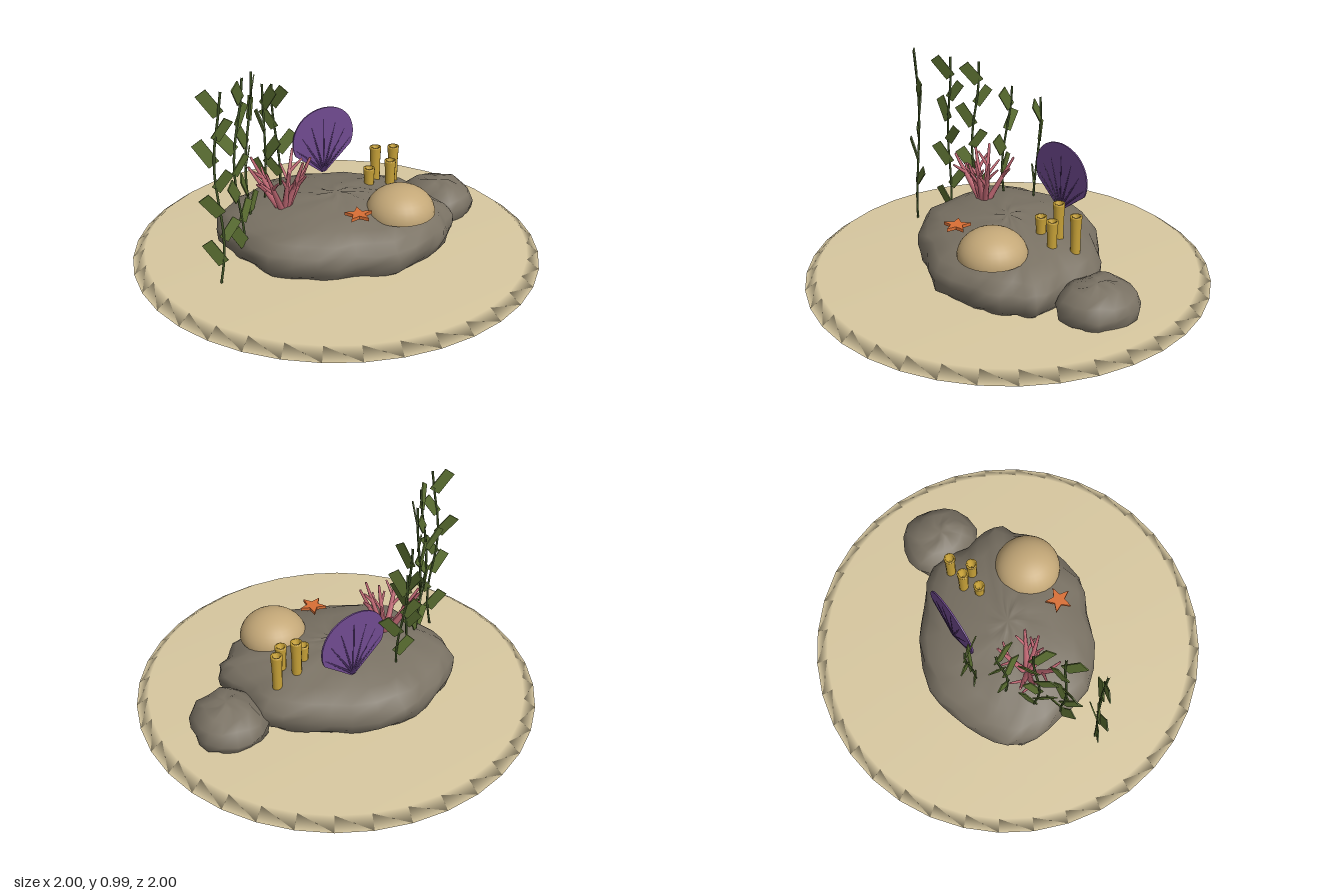
import * as THREE from 'three';

const mat = (name, color, extra = {}) => Object.assign(new THREE.MeshStandardMaterial({ color, ...extra }), { name });
const V = (x, y, z) => new THREE.Vector3(x, y, z);

export function createModel() {
  const M = {
    sand: mat('sand', 0xd8c8a0),
    rock: mat('rock', 0x7a7264),
    leaf: mat('kelp leaf', 0x5c7032),
    stem: mat('kelp stem', 0x3f5226),
    coral: mat('pink coral', 0xc46a76),
    sponge: mat('yellow sponge', 0xc8a238),
    dome: mat('tan coral', 0xc4a878),
    star: mat('orange', 0xd96f35),
    fan: mat('purple', 0x704a90),
    rib: mat('dark purple', 0x432a5c),
  };
  const root = new THREE.Group();
  root.name = 'reef';

  const group = (name, parent = root) => {
    const g = new THREE.Group();
    g.name = name;
    parent.add(g);
    return g;
  };
  const add = (name, geo, material, parent = root, x = 0, y = 0, z = 0) => {
    const m = new THREE.Mesh(geo, material);
    m.name = name;
    m.position.set(x, y, z);
    parent.add(m);
    return m;
  };
  const lathe = (pts, segs) => new THREE.LatheGeometry(pts.map(p => new THREE.Vector2(...p)), segs);
  // tapered rod between two points
  const rod = (name, a, b, r0, r1, material, parent) => {
    const d = b.clone().sub(a);
    const m = add(name, new THREE.CylinderGeometry(r1, r0, d.length(), 6), material, parent);
    m.position.copy(a).add(b).multiplyScalar(0.5);
    m.quaternion.setFromUnitVectors(V(0, 1, 0), d.normalize());
  };

  // Sand disc
  add('sandBase', lathe([[0, 0], [1, 0], [0.94, 0.045], [0, 0.045]], 36), M.sand);

  // Rocks: a plan outline scaled ring by ring, with a little unevenness
  const boulder = (outline, cx, cz, rings, n, rough) => {
    const curve = new THREE.CatmullRomCurve3(outline.map(([x, z]) => V(x, 0, z)), true);
    const pos = [], idx = [];
    rings.forEach(([y, s], k) => {
      for (let i = 0; i < n; i++) {
        const p = curve.getPoint(i / n);
        const w = 1 + rough * Math.sin(i * 2.3 + k * 1.9) * (s < 1 ? 1 : 0);
        const dy = k > 0 && s > 0 ? rough * 0.25 * Math.sin(i * 1.1 + k * 2.7) : 0;
        pos.push(cx + (p.x - cx) * s * w, y + dy, cz + (p.z - cz) * s * w);
        if (k < rings.length - 1) {
          const a = k * n + i, b = k * n + (i + 1) % n;
          idx.push(a, a + n, b, b, a + n, b + n);
        }
      }
    });
    // close the top on one shared point
    const top = pos.length / 3, last = rings.length - 1;
    pos.push(cx, rings[last][0] + 0.004, cz);
    for (let i = 0; i < n; i++) idx.push(last * n + i, top, last * n + (i + 1) % n);
    const g = new THREE.BufferGeometry();
    g.setAttribute('position', new THREE.Float32BufferAttribute(pos, 3));
    g.setIndex(idx);
    g.computeVertexNormals();
    return g;
  };
  add('mainRock', boulder([
    [0.59, 0], [0.55, 0.1], [0.5, 0.21], [0.42, 0.28], [0.25, 0.41], [0.05, 0.42], [-0.13, 0.43],
    [-0.36, 0.36], [-0.48, 0.2], [-0.57, 0.07], [-0.585, -0.08], [-0.52, -0.2], [-0.4, -0.33],
    [-0.26, -0.43], [0, -0.455], [0.2, -0.41], [0.41, -0.34], [0.46, -0.21], [0.53, -0.1],
  ], 0, 0, [[0.03, 0.9], [0.07, 0.97], [0.12, 1], [0.165, 0.98], [0.21, 0.9], [0.247, 0.74],
    [0.275, 0.5], [0.293, 0.25], [0.3, 0.1]], 38, 0.02), M.rock);
  add('smallRock', boulder([
    [0.75, -0.24], [0.7, -0.15], [0.59, -0.085], [0.48, -0.13], [0.41, -0.22], [0.38, -0.36],
    [0.44, -0.45], [0.55, -0.485], [0.67, -0.46], [0.73, -0.37],
  ], 0.57, -0.28, [[0.03, 0.85], [0.06, 0.94], [0.1, 1], [0.15, 0.86], [0.185, 0.6], [0.2, 0.25]], 16, 0.04), M.rock);

  // Dome coral
  const dome = group('domeCoral');
  dome.position.set(0.295, 0.25, 0.14);
  add('dome', new THREE.SphereGeometry(0.167, 28, 10, 0, Math.PI * 2, 0, Math.PI / 2), M.dome, dome).scale.y = 0.78;
  add('domeUnderside', new THREE.CircleGeometry(0.167, 28).rotateX(Math.PI / 2), M.dome, dome);

  // Tube sponges with hollow mouths
  const sponges = group('tubeSponges');
  for (const [x, z, top] of [[0.222, -0.195, 0.445], [0.322, -0.25, 0.42], [0.29, -0.145, 0.39], [0.18, -0.12, 0.365]]) {
    const h = top - 0.23;
    add('tubeSponge', lathe([[0.024, 0], [0.025, h * 0.6], [0.029, h - 0.008], [0.029, h], [0.019, h],
      [0.016, h - 0.035], [0, h - 0.035]], 12), M.sponge, sponges, x, 0.23, z);
  }

  // Starfish
  const star = new THREE.Shape();
  for (let i = 0; i < 10; i++) {
    const a = Math.PI / 2 + i * Math.PI / 5, r = i % 2 ? 0.029 : 0.068;
    star[i ? 'lineTo' : 'moveTo'](Math.cos(a) * r, Math.sin(a) * r);
  }
  add('starfish', new THREE.ExtrudeGeometry(star, { depth: 0.016, bevelEnabled: false }).rotateX(-Math.PI / 2),
    M.star, root, 0.075, 0.298, 0.267);

  // Sea fan with ribs on both faces
  const fan = group('seaFan');
  fan.position.set(-0.033, 0.285, -0.275);
  fan.rotation.y = 0.48;
  const blade = new THREE.Shape();
  blade.moveTo(-0.012, 0);
  blade.lineTo(0.012, 0);
  blade.lineTo(0.165, 0.122);
  blade.bezierCurveTo(0.205, 0.2, 0.17, 0.345, 0, 0.35);
  blade.bezierCurveTo(-0.17, 0.345, -0.205, 0.2, -0.165, 0.122);
  add('fanBlade', new THREE.ExtrudeGeometry(blade, { depth: 0.008, bevelEnabled: false, curveSegments: 14 }), M.fan, fan, 0, 0, -0.004);
  for (let i = -3; i <= 3; i++) {
    const a = i * 0.27, len = 0.29 - Math.abs(i) * 0.022;
    rod('fanRib', V(0, 0.005, 0), V(Math.sin(a) * len, Math.cos(a) * len, 0), 0.0075, 0.0055, M.rib, fan);
  }

  // Branching coral: each arm leans outwards and forks
  const coral = group('branchCoral');
  coral.position.set(-0.26, 0.25, 0.065);
  const arms = [[0.13, 0.0, 0.27], [0.055, -0.14, 0.26], [-0.15, -0.06, 0.26], [-0.165, 0.01, 0.24],
    [-0.085, 0.13, 0.25], [0.02, 0.08, 0.23], [0.09, 0.06, 0.27]];
  arms.forEach(([x, z, h], i) => {
    const knee = V(x * 0.5, h * 0.45, z * 0.5), tip = V(x, h, z);
    const mid = knee.clone().lerp(tip, 0.3);
    rod('coralArm', V(x * 0.08, 0, z * 0.08), knee, 0.018, 0.013, M.coral, coral);
    rod('coralArm', knee, tip, 0.013, 0.006, M.coral, coral);
    const s = i % 2 ? 0.35 : -0.35;
    rod('coralTwig', mid, V(x * 0.92 - z * s, h * 0.84, z * 0.92 + x * s), 0.01, 0.005, M.coral, coral);
    rod('coralTwig', knee, V(x * 0.8 + z * s, h * 0.72, z * 0.8 - x * s), 0.01, 0.005, M.coral, coral);
  });

  // Kelp: wavy stem with blades alternating left and right; [x, z, base, top, turn]
  const kelps = [[-0.575, 0.355, 0.04, 0.98, 0], [-0.475, 0.21, 0.1, 0.98, 0.8], [-0.42, 0.085, 0.17, 0.96, 1.25],
    [-0.335, -0.065, 0.22, 0.84, 2.2], [-0.27, -0.21, 0.22, 0.79, 2.78]];
  kelps.forEach(([x, z, base, top, turn], k) => {
    const g = group('kelp');
    g.position.set(x, base, z);
    g.rotation.y = turn;
    const h = top - base;
    const at = y => V(0.018 * Math.sin(y * 8 + k) + 0.02 * y, y, 0.015 * Math.sin(y * 6 + 1 + k));
    const path = new THREE.CatmullRomCurve3([0, 1, 2, 3, 4, 5, 6, 7].map(i => at(h * i / 7)));
    add('kelpStem', new THREE.TubeGeometry(path, 24, 0.006, 5), M.stem, g);
    const n = Math.round((h - 0.1) / 0.12);
    for (let i = 0; i < n; i++) {
      const y = h - 0.11 - i * 0.12, side = i % 2 ? 1 : -1;
      const w = side < 0 ? 0.056 : 0.046, len = side < 0 ? 0.125 : 0.11;
      const leaf = add('kelpLeaf', new THREE.BoxGeometry(w, len, 0.006).translate(0, len / 2, 0), M.leaf, g);
      leaf.position.copy(at(y));
      leaf.rotation.set(0.2 * Math.sin(i * 2.1 + k), 0.25 * Math.sin(i * 1.7 + k), -side * 0.62);
    }
  });

  return root;
}
